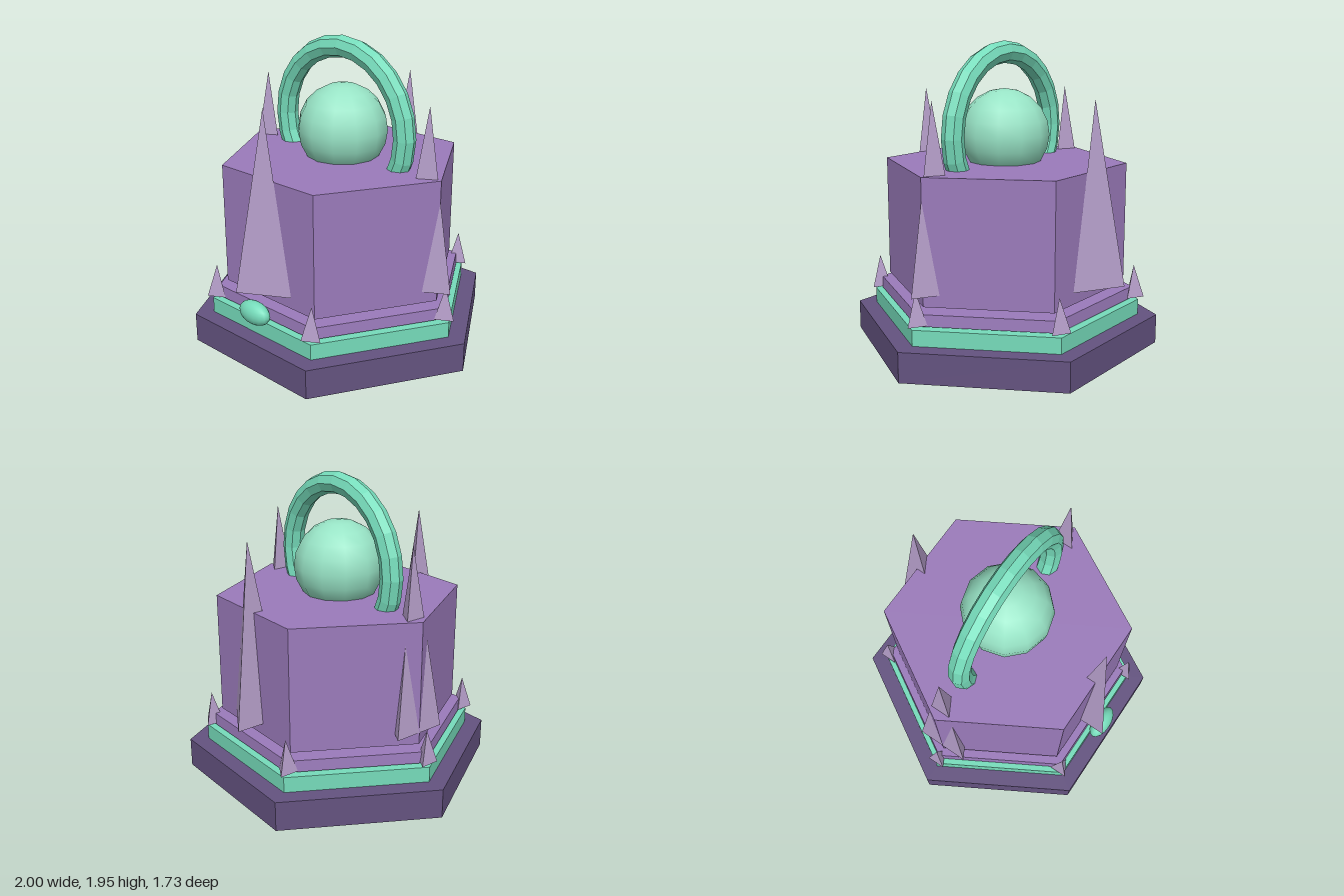
import * as THREE from 'three';

export function createModel() {
  const model = new THREE.Group();
  model.name = 'crystalShrine';

  const material = (name, color, flatShading = true) => {
    const m = new THREE.MeshStandardMaterial({ color, flatShading });
    m.name = name;
    return m;
  };
  const darkStone = material('dark purple stone', 0x645380);
  const stone = material('purple stone', 0x9b7bbb);
  const mint = material('mint trim', 0x76dcbb);
  const mintSmooth = material('polished mint', 0x76dcbb, false);
  const orbGlass = material('pale mint orb', 0x98e4c6, false);
  const crystal = material('mauve crystal', 0xb49dc8);

  const add = (name, geometry, mat, x = 0, y = 0, z = 0) => {
    const mesh = new THREE.Mesh(geometry, mat);
    mesh.name = name;
    mesh.position.set(x, y, z);
    model.add(mesh);
    return mesh;
  };

  // Hexagonal tiers, corners on the x axis
  const tier = (name, topRadius, bottomRadius, y0, y1, mat) => {
    const g = new THREE.CylinderGeometry(topRadius, bottomRadius, y1 - y0, 6);
    g.rotateY(Math.PI / 6);
    add(name, g, mat, 0, (y0 + y1) / 2, 0);
  };
  tier('base', 1, 1, 0, 0.19, darkStone);
  tier('mintStep', 0.88, 0.88, 0.19, 0.29, mint);
  tier('upperStep', 0.835, 0.84, 0.302, 0.375, stone);
  tier('mainBlock', 0.78, 0.78, 0.405, 1.187, stone);

  // Orb and the ring around it, both sunk into the block
  add('orb', new THREE.SphereGeometry(0.29, 12, 10), orbGlass, 0, 1.36, 0);
  add('ring', new THREE.TorusGeometry(0.5, 0.07, 8, 24), mint, 0, 1.378, 0);

  // Oval gem on the front
  add('frontGem', new THREE.SphereGeometry(1, 16, 12), mintSmooth, 0, 0.357, 0.797)
    .scale.set(0.122, 0.075, 0.062);

  // Three-sided crystals, one base corner always towards +x
  const spikes = (name, count, distance, radius, y0, y1) => {
    const g = new THREE.ConeGeometry(radius, y1 - y0, 3);
    g.rotateY(Math.PI / 2);
    for (let i = 0; i < count; i++) {
      const a = (i / count) * Math.PI * 2;
      add(name + (i + 1), g, crystal,
        Math.cos(a) * distance, (y0 + y1) / 2, Math.sin(a) * distance);
    }
  };
  spikes('tallCrystal', 4, 0.68, 0.2, 0.48, 1.62);
  spikes('cornerCrystal', 6, 0.845, 0.07, 0.31, 0.52);

  return model;
}
